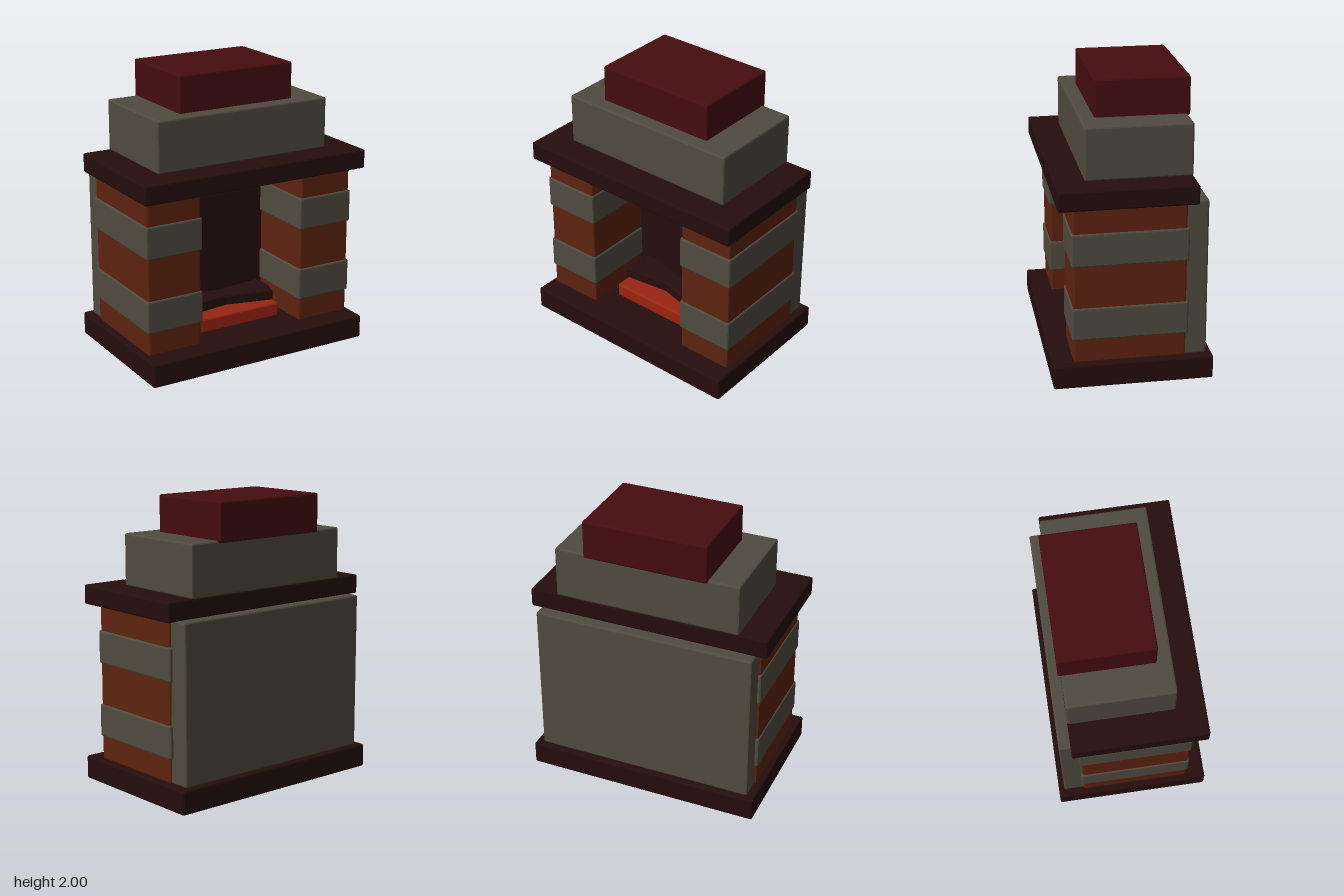
import * as THREE from 'three';
import { RoundedBoxGeometry } from 'three/addons/geometries/RoundedBoxGeometry.js';

const material = (name, color) => {
  const m = new THREE.MeshStandardMaterial({ color });
  m.name = name;
  return m;
};

// Box with narrow flat chamfers, given by its limits on each axis
function block(name, mat, [x0, x1], [y0, y1], [z0, z1], bevel = 0.012) {
  const geometry = new RoundedBoxGeometry(x1 - x0, y1 - y0, z1 - z0, 1, bevel);
  geometry.computeVertexNormals();
  const mesh = new THREE.Mesh(geometry, mat);
  mesh.name = name;
  mesh.position.set((x0 + x1) / 2, (y0 + y1) / 2, (z0 + z1) / 2);
  return mesh;
}

export function createModel() {
  const stone = material('grey stone', 0x504b3f);
  const brick = material('orange brick', 0x5e2310);
  const dark = material('charred wood', 0x250d0d);
  const red = material('dark red', 0x450d0f);
  const ember = material('glowing ember', 0x9a2512);

  const model = new THREE.Group();
  model.name = 'fireplace';

  // Base, back wall and firebox lining
  model.add(
    block('hearth', dark, [-0.84, 0.84], [0, 0.165], [-0.54, 0.54]),
    block('backWall', stone, [-0.785, 0.785], [0.165, 1.26], [-0.5, -0.14]),
    block('firebox', dark, [-0.42, 0.42], [0.205, 1.04], [-0.2, -0.11])
  );

  // Mirrored brick pillars with stone bands
  for (const side of [-1, 1]) {
    const pillar = new THREE.Group();
    pillar.name = side > 0 ? 'leftPillar' : 'rightPillar';
    const span = (a, b) => (side > 0 ? [a, b] : [-b, -a]);
    pillar.add(block('pillarBrick', brick, span(0.4, 0.8), [0.165, 1.258], [-0.355, 0.4]));
    for (const y of [0.33, 0.85]) {
      pillar.add(block('pillarBand', stone, span(0.39, 0.81), [y, y + 0.23], [-0.37, 0.41]));
    }
    model.add(pillar);
  }

  // Mantel and stepped chimney
  model.add(
    block('mantel', dark, [-0.86, 0.86], [1.255, 1.39], [-0.42, 0.5]),
    block('chimneyBase', stone, [-0.66, 0.66], [1.385, 1.745], [-0.42, 0.3]),
    block('chimneyTop', red, [-0.44, 0.44], [1.73, 2], [-0.44, 0.2])
  );

  // Ember bed and two crossed logs
  model.add(block('emberBed', ember, [-0.335, 0.335], [0.16, 0.262], [-0.11, 0.23]));
  for (const angle of [0.12, -0.25]) {
    const log = block('log', dark, [-0.36, 0.36], [0.205, 0.335], [-0.055, 0.075]);
    log.rotation.y = angle;
    model.add(log);
  }

  return model;
}
